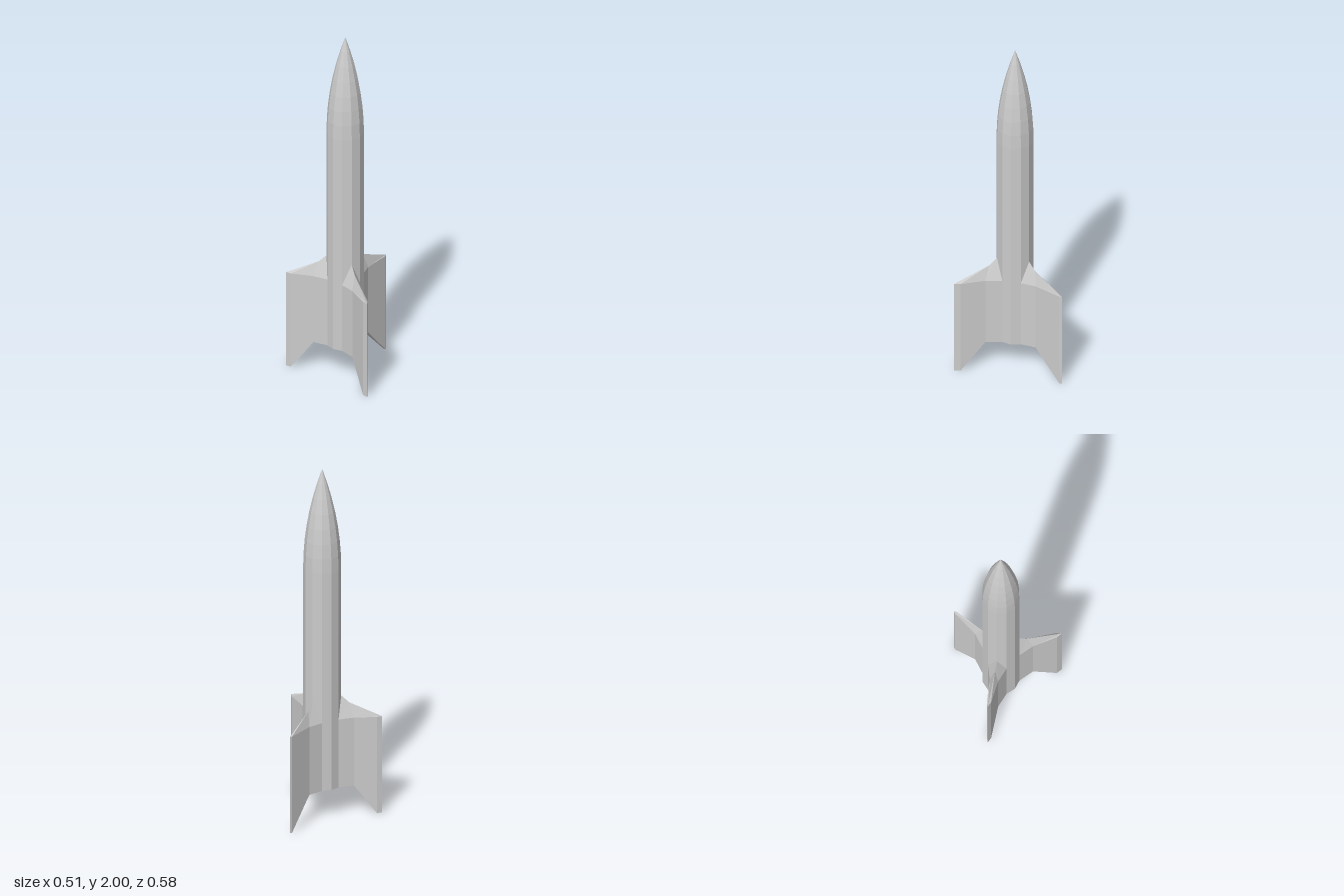
import * as THREE from 'three';

const material = new THREE.MeshStandardMaterial({ color: 0xcccccc, flatShading: true });
const BASE = 0.165, SHOULDER = 0.56, RADIUS = 0.102;

// Twelve-sided hull: recessed nozzle, straight tube, rounded nose
function createBody() {
  const points = [
    [0, 0.23], [0.06, 0.23], [0.06, 0.175], [0.07, 0.175], [0.07, 0.2],
    [0.088, 0.2], [0.088, BASE], [RADIUS, BASE],
  ].map(([r, y]) => new THREE.Vector2(r, y));
  const steps = 7;
  for (let i = 0; i <= steps; i++) {
    const t = i / steps;
    points.push(new THREE.Vector2(RADIUS * (1 - t * t), 1.43 + 0.57 * t));
  }
  const body = new THREE.Mesh(new THREE.LatheGeometry(points, 12), material);
  body.name = 'body';
  return body;
}

// Tapered fin along +x with a ridged top and a swept foot
function createFin({ angle, mid, midHalf, end, endHalf, tip }) {
  const positions = [];
  for (const s of [1, -1]) {
    const p = (x, y, z = 0) => [x, y, s * z];
    // Upper and lower corners of one side
    const A = p(0.088, SHOULDER, 0.051), a = p(0.088, BASE, 0.051);
    const B = p(mid, SHOULDER, midHalf), b = p(mid, BASE, midHalf);
    const C = p(end, SHOULDER, endHalf), c = p(end, 0, endHalf);
    // Points on the centre plane
    const root = p(RADIUS, 0.68), ridge = p(0.145, 0.64), tipTop = p(tip, SHOULDER);
    const rootLow = p(RADIUS, BASE), midLow = p(mid, BASE), endLow = p(end, 0), tipLow = p(tip, 0);
    const faces = [
      [a, b, B, A], [b, c, C, B], [c, tipLow, tipTop, C],
      [A, B, ridge, root], [B, C, tipTop, ridge],
      [rootLow, midLow, b, a], [midLow, endLow, c, b], [endLow, tipLow, c],
    ];
    for (const face of faces) {
      const f = s > 0 ? face : [...face].reverse();
      for (let i = 1; i < f.length - 1; i++) positions.push(...f[0], ...f[i], ...f[i + 1]);
    }
  }
  const geometry = new THREE.BufferGeometry();
  geometry.setAttribute('position', new THREE.Float32BufferAttribute(positions, 3));
  geometry.computeVertexNormals();
  const fin = new THREE.Mesh(geometry, material);
  fin.rotation.y = angle;
  return fin;
}

export function createModel() {
  const rocket = new THREE.Group();
  rocket.name = 'rocket';
  rocket.add(createBody());

  const third = (2 * Math.PI) / 3;
  const fins = [
    { name: 'leftFin', angle: 0, mid: 0.168, midHalf: 0.02, end: 0.327, endHalf: 0.007, tip: 0.34 },
    { name: 'backFin', angle: third, mid: 0.17, midHalf: 0.023, end: 0.294, endHalf: 0.012, tip: 0.322 },
    { name: 'frontFin', angle: -third, mid: 0.174, midHalf: 0.023, end: 0.311, endHalf: 0.0125, tip: 0.343 },
  ];
  for (const spec of fins) {
    const fin = createFin(spec);
    fin.name = spec.name;
    rocket.add(fin);
  }

  // Centre the uneven fin spread
  rocket.position.set(-0.085, 0, -0.01);
  const model = new THREE.Group();
  model.add(rocket);
  return model;
}
